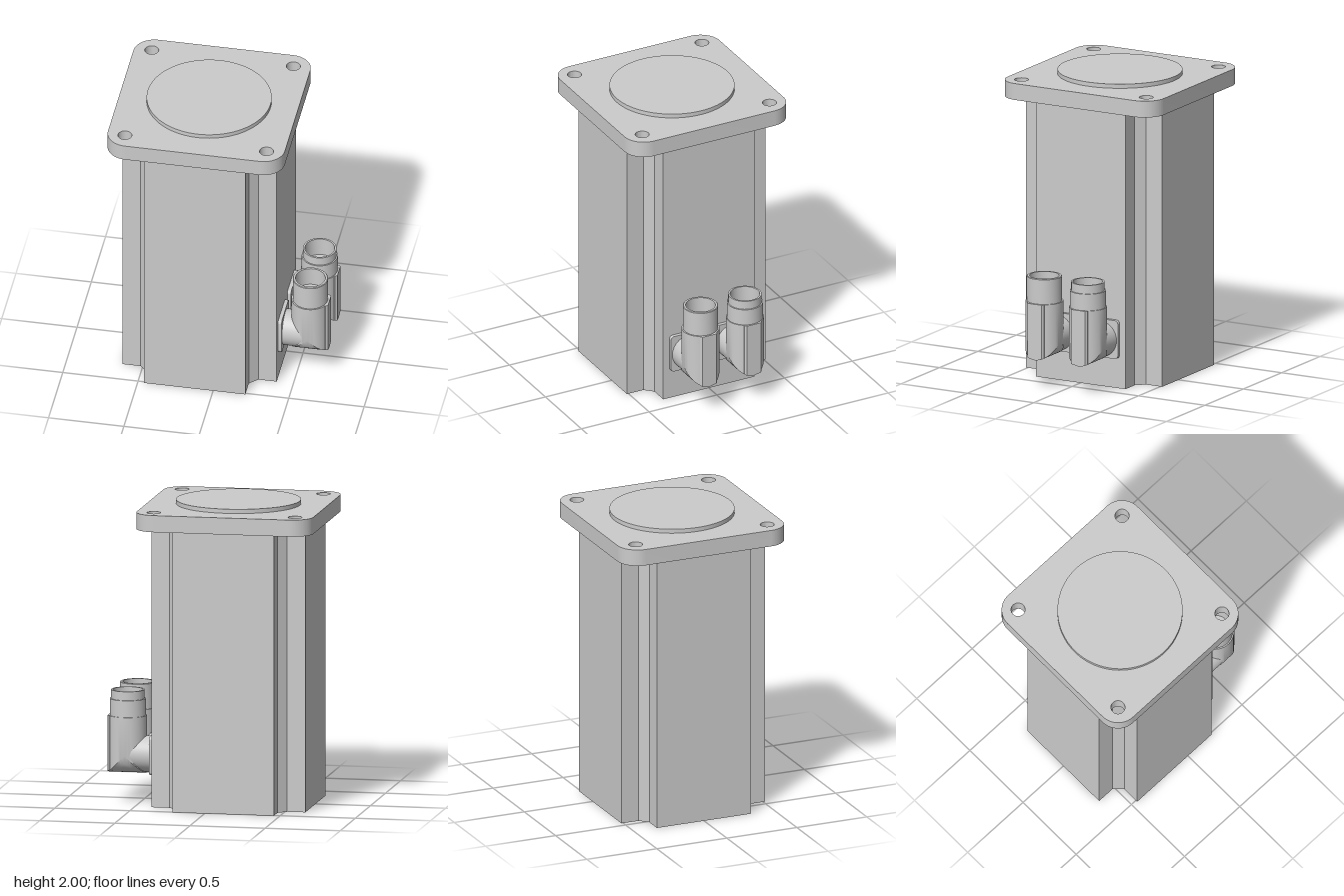
import * as THREE from 'three';
import { toCreasedNormals } from 'three/addons/utils/BufferGeometryUtils.js';

const grey = new THREE.MeshStandardMaterial({ color: 0xcccccc });
const AXIS_X = -0.123; // motor centre line

function part(name, geometry, x = 0, y = 0, z = 0) {
  const mesh = new THREE.Mesh(toCreasedNormals(geometry, 0.5), grey);
  mesh.name = name;
  mesh.position.set(x, y, z);
  return mesh;
}

// Extrude a plan shape upwards from y = 0
function extrudeUp(shape, height) {
  return new THREE.ExtrudeGeometry(shape, { depth: height, bevelEnabled: false, curveSegments: 16 })
    .rotateX(-Math.PI / 2);
}

function roundedSquare(h, r) {
  const s = new THREE.Shape();
  s.absarc(h - r, h - r, r, 0, Math.PI / 2);
  s.absarc(-h + r, h - r, r, Math.PI / 2, Math.PI);
  s.absarc(-h + r, -h + r, r, Math.PI, Math.PI * 1.5);
  s.absarc(h - r, -h + r, r, Math.PI * 1.5, Math.PI * 2);
  s.closePath();
  return s;
}

// Square section with a chamfered notch in each corner
function housingShape() {
  const h = 0.512, n = 0.337, c = 0.391;
  const corner = [[h, n], [c, n], [n, c], [n, h]];
  const points = [];
  for (let i = 0; i < 4; i++) {
    const a = i * Math.PI / 2;
    for (const [x, y] of corner) {
      points.push(new THREE.Vector2(x, y).rotateAround(new THREE.Vector2(), a));
    }
  }
  return new THREE.Shape(points);
}

const lathe = (pairs, segments = 48) =>
  new THREE.LatheGeometry(pairs.map(([r, y]) => new THREE.Vector2(r, y)), segments);

// Round off the bottom (y = 0) as a half cylinder lying along x
function roundBottom(geometry, r) {
  const p = geometry.attributes.position;
  for (let i = 0; i < p.count; i++) {
    if (p.getY(i) < 0.001) {
      const z = Math.min(Math.abs(p.getZ(i)), r);
      p.setY(i, r - Math.sqrt(r * r - z * z));
    }
  }
  return geometry;
}

// Elbow connector: plate on the housing, side neck, upright body and open socket
function connector(name, z, stepped) {
  const g = new THREE.Group();
  g.name = name;
  g.position.set(0.58, 0.2, z);
  const r = 0.124, bodyTop = 0.377;

  const plate = new THREE.ExtrudeGeometry(roundedSquare(0.129, 0.025), { depth: 0.025, bevelEnabled: false })
    .rotateY(Math.PI / 2);
  g.add(part('connectorPlate', plate, -0.192, 0.129, 0));

  const neck = new THREE.CylinderGeometry(0.119, 0.119, 0.18, 48).rotateZ(Math.PI / 2);
  g.add(part('connectorNeck', neck, -0.09, 0.124, 0));

  const rings = [];
  for (let i = 0; i <= 8; i++) rings.push([r * i / 8, 0]);
  const body = lathe([...rings, [r, bodyTop], [0.09, bodyTop]]);
  g.add(part('connectorBody', roundBottom(body, r)));

  // Flat key running up the outer side
  const key = new THREE.Shape([[0.08, -0.062], [0.113, -0.062], [0.127, -0.052], [0.127, 0],
    [0.127, 0.052], [0.113, 0.062], [0.08, 0.062]].map(([x, y]) => new THREE.Vector2(x, y)));
  g.add(part('connectorKey', roundBottom(extrudeUp(key, bodyTop), r)));

  // Hollow socket, with an optional step near the rim
  const top = 0.546, floor = 0.42;
  const outer = stepped
    ? [[0.118, bodyTop], [0.118, 0.488], [0.109, 0.488], [0.109, top]]
    : [[0.115, bodyTop], [0.115, top - 0.004], [0.111, top]];
  g.add(part('connectorSocket', lathe([...outer, [0.097, top], [0.097, floor], [0, floor]])));
  return g;
}

export function createModel() {
  const model = new THREE.Group();
  model.name = 'servoMotor';

  model.add(part('housing', extrudeUp(housingShape(), 1.865), AXIS_X));

  // Mounting flange with four bolt holes
  const flange = roundedSquare(0.587, 0.14);
  for (const sx of [-1, 1]) {
    for (const sy of [-1, 1]) {
      const hole = new THREE.Path();
      hole.absarc(sx * 0.47, sy * 0.47, 0.046, 0, Math.PI * 2, true);
      flange.holes.push(hole);
    }
  }
  model.add(part('mountingFlange', extrudeUp(flange, 0.11), AXIS_X, 1.862));

  model.add(part('pilotBoss', new THREE.CylinderGeometry(0.408, 0.408, 0.04, 96), AXIS_X, 1.98));

  model.add(connector('frontConnector', 0.163, false));
  model.add(connector('rearConnector', -0.165, true));
  return model;
}
